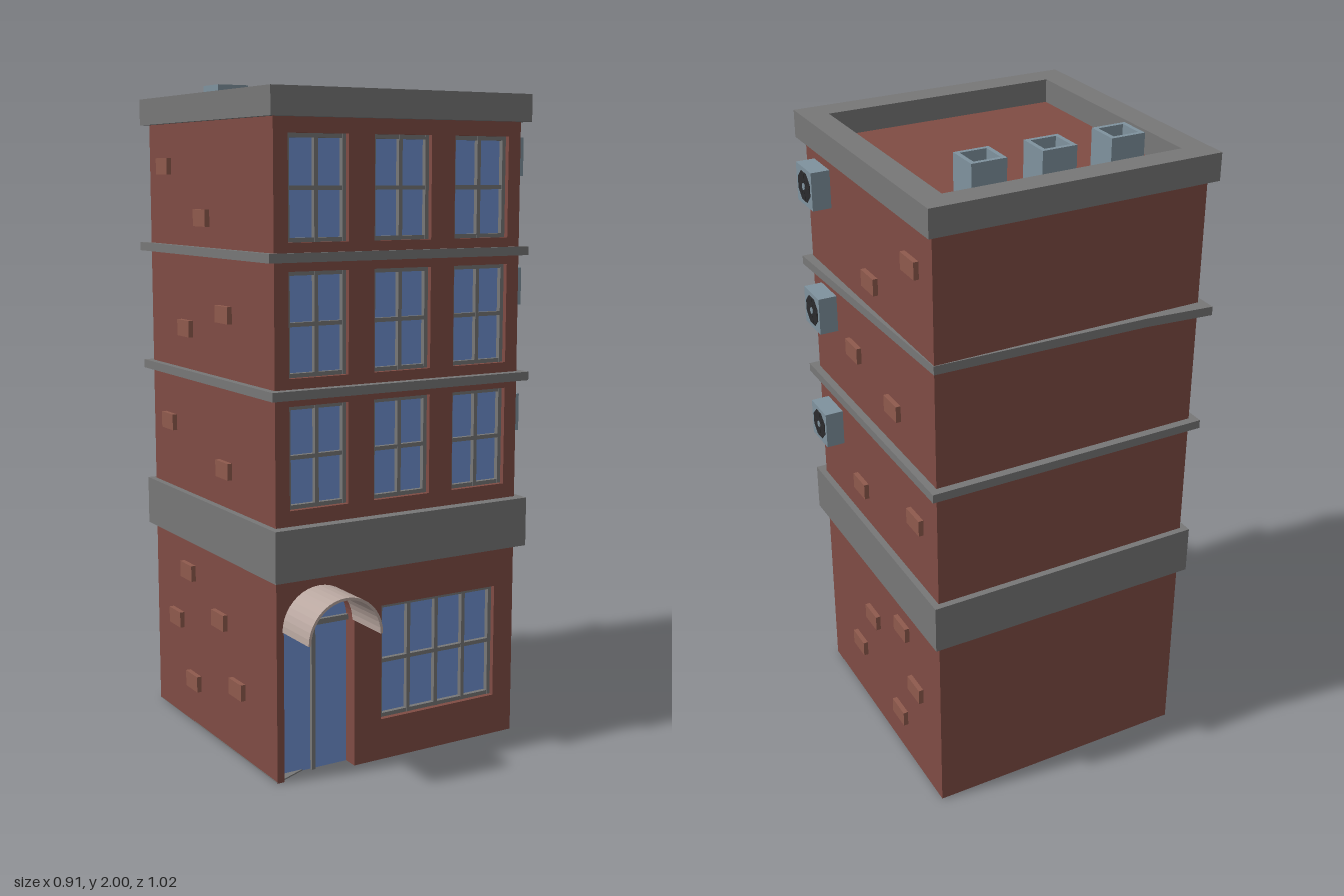
import * as THREE from 'three';

const mat = (color) => new THREE.MeshStandardMaterial({ color, flatShading: true });

export function createModel() {
  const model = new THREE.Group();
  const brick = mat(0x804c44), paleBrick = mat(0x8f5a4d), stone = mat(0x777777);
  const glass = mat(0x7091d2), metal = mat(0x7f929e), dark = mat(0x2b2b2d), canvas = mat(0xb8a69f);

  const group = (name, parent = model) => {
    const g = new THREE.Group();
    g.name = name;
    parent.add(g);
    return g;
  };
  const mesh = (name, geo, material, parent = model) => {
    const m = new THREE.Mesh(geo, material);
    m.name = name;
    parent.add(m);
    return m;
  };
  // box given by its minimum and maximum corners
  const box = (name, a, b, material, parent) => {
    const m = mesh(name, new THREE.BoxGeometry(b[0] - a[0], b[1] - a[1], b[2] - a[2]), material, parent);
    m.position.set((a[0] + b[0]) / 2, (a[1] + b[1]) / 2, (a[2] + b[2]) / 2);
    return m;
  };
  const poly = (points) => new THREE.Shape(points.map(([x, y]) => new THREE.Vector2(x, y)));
  const rect = (x0, y0, x1, y1) => poly([[x0, y0], [x1, y0], [x1, y1], [x0, y1]]);
  // horizontal slab from a plan shape (x, z) between two heights
  const slab = (name, shape, y0, y1, material, parent) => {
    const geo = new THREE.ExtrudeGeometry(shape, { depth: y1 - y0, bevelEnabled: false });
    geo.rotateX(Math.PI / 2);
    const m = mesh(name, geo, material, parent);
    m.position.y = y1;
    return m;
  };

  const L = -0.435, R = 0.395, BACK = -0.465, FRONT = 0.36, TOP = 1.89, CORE = 0.31;

  // window list: x0, y0, x1, y1, columns
  const openings = [[-0.085, 0.125, 0.325, 0.475, 4]];
  for (const y of [0.795, 1.168, 1.542])
    for (const x of [-0.39, -0.113, 0.16]) openings.push([x, y, x + 0.192, y + 0.295, 2]);

  // main block and front wall, with the doorway notched and the windows cut out
  box('buildingCore', [L, 0.002, BACK], [R, TOP, CORE], brick);
  const doorX = -0.295, doorR = 0.117, spring = 0.447;
  const wall = new THREE.Shape();
  wall.moveTo(L, 0);
  wall.lineTo(doorX - doorR, 0);
  wall.lineTo(doorX - doorR, spring);
  wall.absarc(doorX, spring, doorR, Math.PI, 0, true);
  wall.lineTo(doorX + doorR, 0);
  wall.lineTo(R, 0);
  wall.lineTo(R, TOP);
  wall.lineTo(L, TOP);
  wall.closePath();
  for (const [x0, y0, x1, y1] of openings) wall.holes.push(rect(x0, y0, x1, y1));
  mesh('frontWall', new THREE.ExtrudeGeometry(wall, { depth: FRONT - CORE, bevelEnabled: false, curveSegments: 14 }), brick)
    .position.z = CORE;
  slab('floorPatch', poly([[L, BACK], [-0.12, -0.415], [-0.16, 0.24], [L, FRONT]]), 0, 0.004, stone);

  // recessed windows
  for (const [x0, y0, x1, y1, cols] of openings) {
    const win = group('window'), t = 0.012, z0 = 0.33, z1 = 0.345;
    box('glass', [x0, y0, CORE], [x1, y1, z0], glass, win);
    for (let i = 0; i <= cols; i++) {
      const x = x0 + (x1 - x0 - t) * i / cols;
      box('verticalBar', [x, y0, z0], [x + t, y1, z1], stone, win);
    }
    for (let i = 0; i <= 2; i++) {
      const y = y0 + (y1 - y0 - t) * i / 2;
      box('horizontalBar', [x0, y, z0], [x1, y + t, z1 - 0.001], stone, win);
    }
  }

  // arched glass door
  const door = group('door');
  const leaf = new THREE.Shape();
  leaf.moveTo(doorX - doorR, 0);
  leaf.lineTo(doorX + doorR, 0);
  leaf.lineTo(doorX + doorR, spring);
  leaf.absarc(doorX, spring, doorR, 0, Math.PI, false);
  mesh('doorGlass', new THREE.ShapeGeometry(leaf, 14), glass, door).position.z = CORE + 0.003;
  box('doorPost', [doorX - 0.006, 0, CORE], [doorX + 0.006, spring + doorR, CORE + 0.014], stone, door);
  box('doorTransom', [doorX - doorR, spring - 0.008, CORE], [doorX + doorR, spring + 0.008, CORE + 0.015], stone, door);

  // half-barrel awning over the door
  const arch = new THREE.Shape();
  arch.absarc(doorX, spring, 0.121, 0, Math.PI, false);
  arch.absarc(doorX, spring, 0.113, Math.PI, 0, true);
  mesh('awning', new THREE.ExtrudeGeometry(arch, { depth: 0.155, bevelEnabled: false, curveSegments: 10 }), canvas)
    .position.z = 0.355;

  // stone courses; the upper one is slightly out of square
  box('wideBand', [-0.455, 0.6, -0.485], [0.415, 0.75, 0.395], stone);
  box('lowerLedge', [-0.458, 1.112, -0.49], [0.418, 1.138, 0.39], stone);
  slab('upperLedge', poly([[-0.455, -0.508], [-0.25, -0.487], [0.397, -0.467], [0.425, 0.37], [-0.455, 0.37]]), 1.488, 1.514, stone);

  // parapet around the sunken roof
  const rim = rect(-0.455, -0.493, 0.417, 0.385);
  rim.holes.push(rect(-0.377, -0.416, 0.341, 0.305));
  slab('parapet', rim, 1.88, 1.96, stone);

  // open roof vents
  for (const x of [-0.243, -0.032, 0.177]) {
    const duct = rect(x - 0.052, -0.36, x + 0.052, -0.258);
    duct.holes.push(rect(x - 0.039, -0.347, x + 0.039, -0.271));
    const vent = group('roofVent');
    slab('ventWalls', duct, 1.88, 2, metal, vent);
    box('ventFloor', [x - 0.045, 1.88, -0.352], [x + 0.045, 1.93, -0.266], metal, vent);
  }

  // air conditioners with an eight-bladed fan
  for (const y of [1.0, 1.39, 1.78]) {
    const unit = group('airConditioner');
    unit.position.set(R, y, 0.245);
    box('casing', [-0.01, -0.057, -0.056], [0.057, 0.057, 0.056], metal, unit);
    const disc = (name, r, x, material) => {
      const m = mesh(name, new THREE.CylinderGeometry(r, r, 0.004, 8), material, unit);
      m.rotation.set(Math.PI / 8, 0, Math.PI / 2);
      m.position.x = x;
    };
    disc('fanWell', 0.047, 0.0565, dark);
    for (let i = 0; i < 8; i++) {
      const blade = box('fanBlade', [0.0575, 0.012, -0.006], [0.0595, 0.04, 0.006], dark, unit);
      blade.geometry.translate(0, 0.026, 0);
      blade.position.y = 0;
      blade.rotation.x = i * Math.PI / 4;
    }
    disc('fanHub', 0.01, 0.059, metal);
  }

  // raised bricks on both side walls: z, y
  const raised = [[-0.345, 1.752], [-0.08, 1.6], [0.06, 1.325], [-0.205, 1.263], [-0.335, 0.958], [0.05, 0.865],
    [-0.215, 0.495], [0.005, 0.393], [-0.305, 0.322], [0.12, 0.21], [-0.185, 0.143]];
  for (const [z, y] of raised)
    for (const x of [L, R])
      box('raisedBrick', [x - 0.015, y - 0.025, z - 0.041], [x + 0.015, y + 0.025, z + 0.041], paleBrick);

  return model;
}
